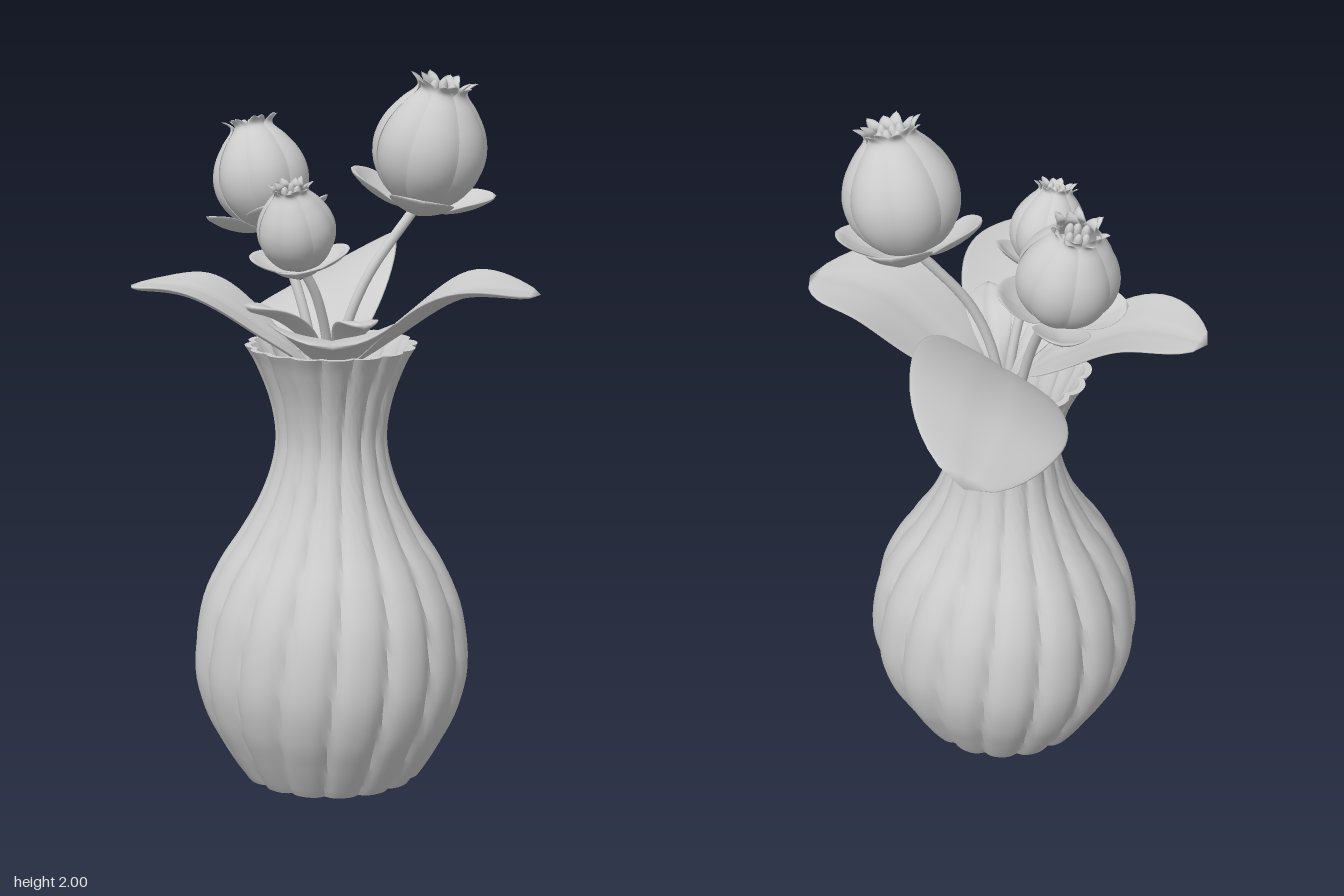
import * as THREE from 'three';
import { mergeVertices, toCreasedNormals } from 'three/addons/utils/BufferGeometryUtils.js';

const material = new THREE.MeshStandardMaterial({ color: 0xcccccc, side: THREE.DoubleSide });
const vec = (p) => new THREE.Vector3(...p);

function addMesh(parent, name, geometry) {
  const mesh = new THREE.Mesh(geometry, material);
  mesh.name = name;
  parent.add(mesh);
  return mesh;
}

// Smooth surface from a function point(u, v), with u and v from 0 to 1
function surface(point, nu, nv) {
  const positions = [], index = [];
  for (let j = 0; j <= nv; j++)
    for (let i = 0; i <= nu; i++) positions.push(...point(i / nu, j / nv).toArray());
  for (let j = 0; j < nv; j++)
    for (let i = 0; i < nu; i++) {
      const a = j * (nu + 1) + i, b = a + nu + 1;
      index.push(a, a + 1, b, a + 1, b + 1, b);
    }
  let geo = new THREE.BufferGeometry();
  geo.setAttribute('position', new THREE.Float32BufferAttribute(positions, 3));
  geo.setIndex(index);
  geo = mergeVertices(geo, 1e-5);
  geo.computeVertexNormals();
  return geo;
}

// Blade with a thin oval section swept along a spine; roll lifts one side, cup lifts both edges
function blade({ spine, width, roll = 0, cup = 0.1, thick = 0.01, crease = 0.006 }) {
  const curve = new THREE.CatmullRomCurve3(spine.map(vec));
  return surface((u, v) => {
    const centre = curve.getPoint(v);
    const tangent = curve.getTangent(v);
    const side = tangent.clone().cross(new THREE.Vector3(0, 1, 0)).normalize().applyAxisAngle(tangent, roll);
    const normal = side.clone().cross(tangent).normalize();
    const shape = Math.pow(Math.max(0, Math.sin(Math.PI * Math.pow(v, 1.45))), 0.6);
    const across = Math.cos(u * Math.PI * 2);
    const x = across * shape;
    const lift = width * cup * x * x
      + thick * Math.sin(u * Math.PI * 2) * Math.min(1, shape * 2)
      - crease * shape * Math.exp(-Math.pow(across * 8, 2));
    return centre.addScaledVector(side, x * width).addScaledVector(normal, lift);
  }, 32, 26);
}

// Fluted vase with a slight twist, hollow down to its floor
function buildVase() {
  const outer = [[0.255, 0], [0.275, 0.03], [0.315, 0.1], [0.362, 0.2], [0.388, 0.33], [0.368, 0.49], [0.318, 0.61],
    [0.255, 0.71], [0.2, 0.81], [0.165, 0.91], [0.155, 1.0], [0.172, 1.1], [0.21, 1.2], [0.238, 1.25]];
  const wall = new THREE.SplineCurve(outer.map(([r, y]) => new THREE.Vector2(r, y))).getPoints(56);
  const inner = wall.filter((p, i) => i % 2 === 0 && p.y > 0.05)
    .map((p) => new THREE.Vector2(p.x - 0.018, p.y)).reverse();
  const profile = [new THREE.Vector2(0, 0.02), new THREE.Vector2(0.02, 0.006), new THREE.Vector2(0.23, 0.006),
    ...wall, ...inner, new THREE.Vector2(0, 0.05)];
  let geo = new THREE.LatheGeometry(profile, 160);
  const pos = geo.attributes.position;
  const flutes = 16;
  for (let i = 0; i < pos.count; i++) {
    const x = pos.getX(i), y = pos.getY(i), z = pos.getZ(i);
    const phase = (Math.atan2(x, z) - 0.28 * y) * flutes / 2;
    const depth = 0.06 + 0.03 * Math.max(0, y - 0.8);
    const scale = 1.015 - depth * Math.pow(1 - Math.abs(Math.sin(phase)), 1.5);
    pos.setXYZ(i, x * scale, y, z * scale);
  }
  geo.deleteAttribute('uv');
  geo.deleteAttribute('normal');
  geo = toCreasedNormals(mergeVertices(geo, 1e-5), 0.75);
  return geo;
}

// One petal in bud units (bud radius 1), hugging the bud and flaring at its tip
const petalProfile = new THREE.SplineCurve([[0.08, -1], [0.55, -0.87], [0.9, -0.45], [1, 0], [0.9, 0.42],
  [0.67, 0.78], [0.47, 1.0], [0.46, 1.12], [0.6, 1.24]].map(([r, y]) => new THREE.Vector2(r, y)));

function petal(count, shrink) {
  return surface((u, v) => {
    const p = petalProfile.getPoint(v);
    const s = u * 2 - 1;
    const taper = v < 0.72 ? 1 : Math.pow(Math.max(0, 1 - (v - 0.72) / 0.28), 0.7);
    const angle = s * taper * Math.PI / count * 1.12;
    const r = p.x * shrink * (1 - 0.075 * s * s + 0.025 * s);
    return new THREE.Vector3(Math.sin(angle) * r, p.y, Math.cos(angle) * r);
  }, 12, 30);
}

function buildBud({ centre, axis, radius, turn }) {
  const bud = new THREE.Group();
  const outerPetal = petal(7, 1), innerPetal = petal(5, 0.8);
  for (let i = 0; i < 7; i++)
    addMesh(bud, 'petal', outerPetal).rotation.y = turn + i * Math.PI * 2 / 7;
  for (let i = 0; i < 5; i++)
    addMesh(bud, 'innerPetal', innerPetal).rotation.y = turn + 0.4 + i * Math.PI * 2 / 5;

  // Core and stamens in the opening
  const core = addMesh(bud, 'core', new THREE.SphereGeometry(0.72, 24, 16));
  core.position.y = 0.1;
  for (let i = 0; i < 6; i++) {
    const a = turn + i * Math.PI / 3;
    const stamen = addMesh(bud, 'stamen', new THREE.SphereGeometry(0.09, 10, 8));
    stamen.position.set(Math.sin(a) * 0.18, 0.98 + 0.06 * (i % 2), Math.cos(a) * 0.18);
    stamen.scale.y = 2;
  }

  // Four rounded sepals under the bud
  const sepal = blade({ spine: [[0, -1.02, 0.02], [0, -1.02, 0.45], [0, -0.85, 0.9], [0, -0.58, 1.28]],
    width: 0.56, cup: 0.3, thick: 0.04, crease: 0.02 });
  for (let i = 0; i < 4; i++)
    addMesh(bud, 'sepal', sepal).rotation.y = turn + i * Math.PI / 2;

  bud.scale.setScalar(radius);
  bud.position.copy(vec(centre));
  bud.quaternion.setFromUnitVectors(new THREE.Vector3(0, 1, 0), vec(axis).normalize());
  return bud;
}

export function createModel() {
  const model = new THREE.Group();
  model.name = 'vaseWithFlowers';

  const vase = addMesh(model, 'vase', buildVase());
  vase.position.set(-0.01, 0, 0.025);

  // Flowers: bud pose and the path of each stem up to it
  const flowers = [
    { name: 'tallFlower', centre: [0.26, 1.79, -0.02], axis: [0.2, 1, 0.12], radius: 0.16, turn: 0.05,
      stem: [[-0.03, 0.5, 0.03], [0.01, 1.2, 0.04], [0.08, 1.42, 0.03]] },
    { name: 'backFlower', centre: [-0.22, 1.69, -0.15], axis: [-0.2, 1, -0.14], radius: 0.138, turn: 0.25,
      stem: [[0.02, 0.5, 0.02], [-0.06, 1.2, 0], [-0.12, 1.42, -0.05]] },
    { name: 'frontFlower', centre: [-0.09, 1.595, 0.205], axis: [-0.1, 1, 0.28], radius: 0.108, turn: 0,
      stem: [[0, 0.5, 0.03], [-0.01, 1.2, 0.08], [-0.04, 1.4, 0.14]] },
  ];
  for (const flower of flowers) {
    const group = new THREE.Group();
    group.name = flower.name;
    const bud = buildBud(flower);
    bud.name = 'bud';
    const base = vec(flower.centre).addScaledVector(vec(flower.axis).normalize(), -flower.radius * 0.95);
    const path = new THREE.CatmullRomCurve3([...flower.stem.map(vec), base]);
    addMesh(group, 'stem', new THREE.TubeGeometry(path, 40, 0.014, 12));
    group.add(bud);
    model.add(group);
  }

  // Four broad leaves over the rim and two small ones inside
  const leaves = [
    { name: 'backLeaf', spine: [[0.01, 1.18, 0.07], [-0.02, 1.31, -0.08], [-0.055, 1.385, -0.35], [-0.065, 1.33, -0.64]],
      width: 0.235, roll: -0.5, cup: 0.02 },
    { name: 'leftLeaf', spine: [[0.03, 1.18, 0.03], [0.17, 1.29, 0.05], [0.36, 1.41, 0.08], [0.57, 1.41, 0.1]],
      width: 0.2, roll: 0, cup: 0.15 },
    { name: 'rightLeaf', spine: [[-0.04, 1.18, 0.08], [-0.19, 1.29, 0.085], [-0.38, 1.4, 0.07], [-0.57, 1.41, 0.03]],
      width: 0.155, roll: 0, cup: 0.16 },
    { name: 'frontLeaf', spine: [[0, 1.18, 0.06], [0.01, 1.27, 0.19], [0.02, 1.33, 0.4], [0.04, 1.365, 0.637]],
      width: 0.172, roll: 0, cup: 0.3 },
    { name: 'smallLeaf', spine: [[0, 1.15, 0.05], [-0.07, 1.28, 0.1], [-0.15, 1.36, 0.17], [-0.23, 1.39, 0.22]],
      width: 0.065, cup: 0.2 },
    { name: 'smallLeaf', spine: [[0, 1.15, 0.05], [0.04, 1.27, 0.1], [0.07, 1.33, 0.17], [0.1, 1.35, 0.28]],
      width: 0.06, cup: 0.2 },
  ];
  for (const leaf of leaves) addMesh(model, leaf.name, blade(leaf));

  return model;
}
